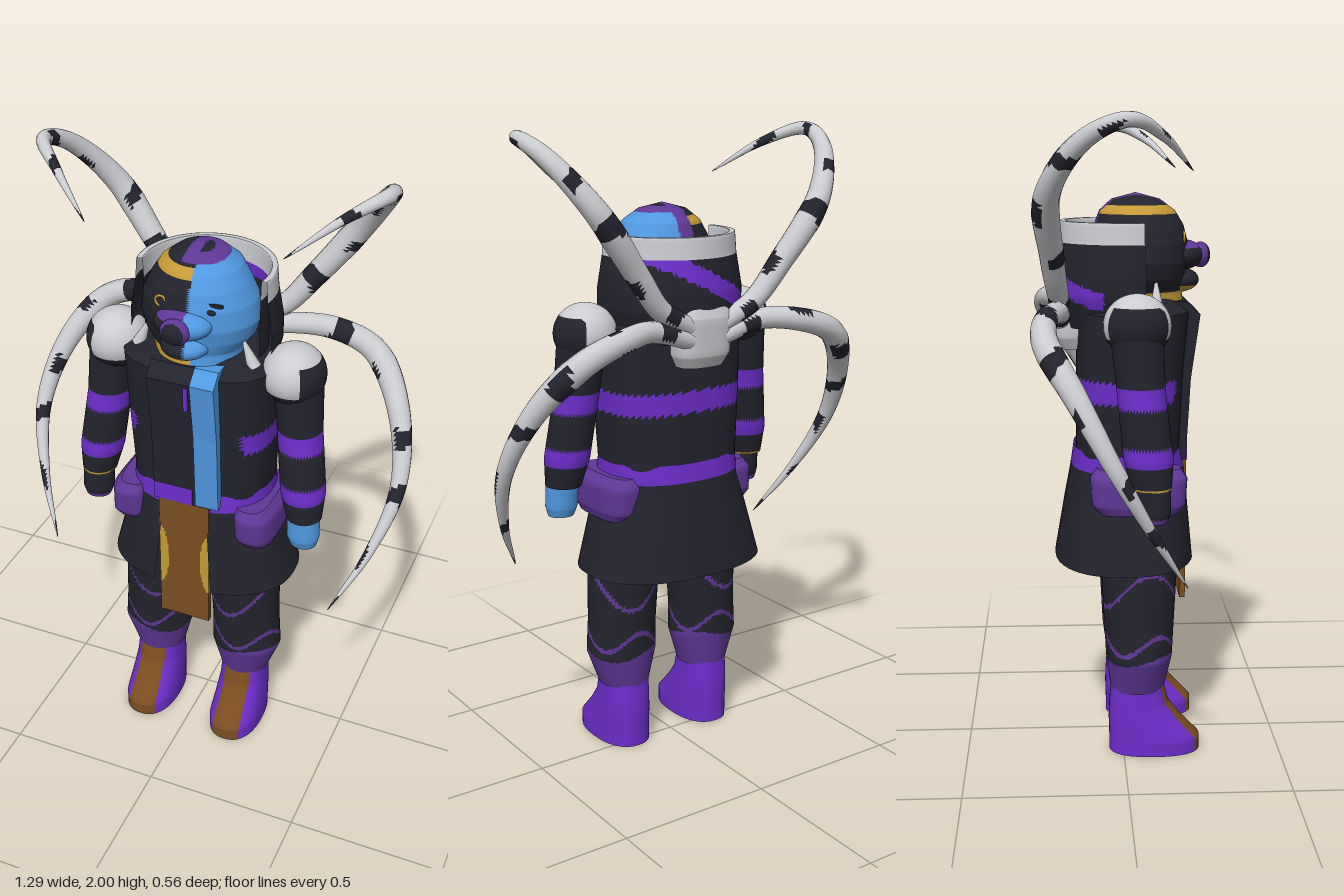
import * as THREE from 'three';

const color = (name, hex) => {
  const m = new THREE.MeshStandardMaterial({ color: hex, side: THREE.DoubleSide });
  m.name = name;
  return m;
};
const MATS = [
  color('charcoal', 0x23232d), color('violet', 0x6c2dca), color('dull purple', 0x5f3796),
  color('sky blue', 0x5098e0), color('bone white', 0xcbccd0), color('brown', 0x7a4d20),
  color('gold', 0xc49a36),
];
const [DARK, VIOLET, PURPLE, BLUE, WHITE, BROWN, GOLD] = MATS.keys();
const CUT = -1;

// Splits a geometry into colour groups; rule(centroid, triangleIndex) gives the colour, or CUT to drop it.
function paint(name, geo, rule) {
  const src = geo.index ? geo.toNonIndexed() : geo;
  const p = src.attributes.position, n = src.attributes.normal;
  const buckets = MATS.map(() => []);
  const c = new THREE.Vector3(), v = new THREE.Vector3();
  for (let t = 0; t < p.count / 3; t++) {
    c.set(0, 0, 0);
    for (let k = 0; k < 3; k++) c.add(v.fromBufferAttribute(p, t * 3 + k));
    buckets[typeof rule === 'number' ? rule : rule(c.divideScalar(3), t)]?.push(t);
  }
  const pos = [], nor = [], out = new THREE.BufferGeometry();
  buckets.forEach((list, m) => {
    if (!list.length) return;
    out.addGroup(pos.length / 3, list.length * 3, m);
    for (const t of list) for (let k = t * 3; k < t * 3 + 3; k++) {
      pos.push(p.getX(k), p.getY(k), p.getZ(k));
      nor.push(n.getX(k), n.getY(k), n.getZ(k));
    }
  });
  out.setAttribute('position', new THREE.Float32BufferAttribute(pos, 3));
  out.setAttribute('normal', new THREE.Float32BufferAttribute(nor, 3));
  const mesh = new THREE.Mesh(out, MATS);
  mesh.name = name;
  return mesh;
}

// Stacks oval rings [y, cx, cz, rx, rz]; a repeated ring makes a sharp edge.
function loft(rings, { power = 1, sub = 5, sides = 48 } = {}) {
  const pos = [], idx = [], rows = [];
  rings.forEach((r, i) => {
    if (i === rings.length - 1) return rows.push(r);
    const next = rings[i + 1], steps = r[0] === next[0] ? 1 : sub;
    for (let s = 0; s < steps; s++) rows.push(r.map((a, k) => a + (next[k] - a) * s / steps));
  });
  const bend = (a) => Math.sign(a) * Math.abs(a) ** power;
  rows.forEach(([y, cx, cz, rx, rz], i) => {
    for (let j = 0; j < sides; j++) {
      const a = j / sides * Math.PI * 2;
      pos.push(cx + rx * bend(Math.cos(a)), y, cz + rz * bend(Math.sin(a)));
      if (i === rows.length - 1) continue;
      const A = i * sides + j, B = i * sides + (j + 1) % sides;
      idx.push(A, A + sides, B, A + sides, B + sides, B);
    }
  });
  const g = new THREE.BufferGeometry();
  g.setAttribute('position', new THREE.Float32BufferAttribute(pos, 3));
  g.setIndex(idx);
  g.computeVertexNormals();
  return g;
}

// Adds flat closed ends to a list of rings.
const capped = (rings) => {
  const a = rings[0], b = rings[rings.length - 1];
  return [[a[0], a[1], a[2], 0, 0], a, a, ...rings.slice(1), b, [b[0], b[1], b[2], 0, 0]];
};
const ball = (x, y, z, rx, ry, rz) => new THREE.SphereGeometry(1, 36, 24).scale(rx, ry, rz).translate(x, y, z);
const box = (x, y, z, w, h, d) => new THREE.BoxGeometry(w, h, d).translate(x, y, z);

// Tapering curved limb with dark blotches.
function spiderLimb(name, points) {
  const seg = 90, rad = 14;
  const curve = new THREE.CatmullRomCurve3(points.map((q) => new THREE.Vector3(...q)));
  const g = new THREE.TubeGeometry(curve, seg, 1, rad);
  const p = g.attributes.position, v = new THREE.Vector3();
  for (let i = 0; i < p.count; i++) {
    const u = Math.floor(i / (rad + 1)) / seg, c = curve.getPointAt(u);
    const r = u < 0.35 ? 0.03 + 0.03 * u : 0.0405 * ((1 - u) / 0.65) ** 0.8 + 0.001;
    v.fromBufferAttribute(p, i).sub(c).multiplyScalar(r).add(c);
    p.setXYZ(i, v.x, v.y, v.z);
  }
  return paint(name, g, (c, t) => {
    const u = Math.floor(t / (rad * 2)) / seg, a = (t % (rad * 2)) / (rad * 2) * Math.PI * 2;
    const f = (u * 6.5 + 0.1 * Math.sin(a + u * 20) + 0.75) % 1;
    return f < 0.3 && Math.sin(a + Math.floor(u * 6.5) * 2) > -0.55 ? DARK : WHITE;
  });
}

export function createModel() {
  const model = new THREE.Group();
  const add = (...args) => model.add(paint(...args));

  for (const s of [1, -1]) {
    const side = s > 0 ? 'left' : 'right';
    // Boots with a brown front strip
    const bx = s * 0.158;
    add(side + 'Boot', loft(capped([[0, bx, 0.1, 0.087, 0.145], [0.045, bx, 0.1, 0.087, 0.145],
      [0.11, bx, 0.068, 0.082, 0.115], [0.16, bx, 0.05, 0.078, 0.095], [0.22, bx, 0.045, 0.075, 0.085]]), { power: 0.85 }),
      (c) => Math.abs(c.x - bx) < 0.046 && c.z > 0.08 && c.y > 0.001 ? BROWN : VIOLET);
    // Trousers with cuffs and wavy seams
    add(side + 'Leg', loft(capped([[0.21, bx, 0.045, 0.082, 0.085], [0.32, s * 0.163, 0.05, 0.117, 0.105],
      [0.42, s * 0.16, 0.05, 0.112, 0.11], [0.6, s * 0.152, 0.05, 0.115, 0.12], [0.8, s * 0.12, 0.04, 0.11, 0.12]]), { sub: 16, sides: 64 }),
      (c) => {
        const a = Math.atan2(c.z - 0.05, (c.x - bx) * s);
        if (c.y < 0.325 + 0.015 * Math.sin(2 * a)) return PURPLE;
        const low = 0.375 + 0.03 * Math.sin(3 * a), high = 0.55 + 0.06 * Math.sin(2 * a + 1);
        return Math.abs(c.y - low) < 0.008 || Math.abs(c.y - high) < 0.008 ? PURPLE : DARK;
      });
    // Sleeves with violet bands
    add(side + 'Arm', loft(capped([[0.91, s * 0.355, 0.075, 0.056, 0.06], [1.0, s * 0.345, 0.066, 0.071, 0.075],
      [1.2, s * 0.32, 0.045, 0.07, 0.073], [1.38, s * 0.305, 0.032, 0.075, 0.08], [1.44, s * 0.3, 0.03, 0.065, 0.07]]), { sub: 14 }),
      (c) => (c.y > 1.15 && c.y < 1.21) || (c.y > 0.98 && c.y < 1.035) ? VIOLET
        : s < 0 && c.y > 0.91 && c.y < 0.918 ? GOLD : DARK);
    // Hands
    add(side + 'Hand', loft(capped([[0.81, s * 0.36, 0.085, 0.042, 0.038], [0.84, s * 0.358, 0.085, 0.052, 0.048],
      [0.93, s * 0.355, 0.08, 0.052, 0.052]])), (c) => s > 0 ? BLUE : c.y < 0.825 ? PURPLE : DARK);
    // Shoulder domes with a dark outer patch
    add(side + 'ShoulderPad', ball(s * 0.29, 1.39, 0.035, 0.098, 0.095, 0.102),
      (c) => (s * c.x > 0.335 && c.y < 1.445) || c.y < 1.35 ? DARK : WHITE);
    // Hip pouches
    add(side + 'Pouch', loft(capped([[0.8, s * 0.212, 0.045, 0.055, 0.12], [0.83, s * 0.21, 0.045, 0.068, 0.145],
      [0.91, s * 0.208, 0.045, 0.068, 0.15], [0.94, s * 0.2, 0.045, 0.05, 0.13]]), { power: 0.65 }), PURPLE);
    // Collar fangs
    const fang = new THREE.ConeGeometry(0.022, 0.11, 16).rotateZ(s * 0.4).translate(s * 0.165, 1.475, 0.1);
    add(side + 'CollarFang', fang, WHITE);
    // Long limbs growing from the back
    model.add(spiderLimb(side + 'UpperLimb', [[s * 0.06, 1.42, -0.19], [s * 0.17, 1.48, -0.2], [s * 0.26, 1.59, -0.215],
      [s * 0.4, 1.78, -0.225], [s * 0.5, 1.93, -0.12], [s * 0.525, 1.98, 0], [s * 0.43, 1.935, 0.1], [s * 0.3, 1.84, 0.195]]));
    model.add(spiderLimb(side + 'LowerLimb', [[s * 0.06, 1.38, -0.19], [s * 0.2, 1.42, -0.2], [s * 0.33, 1.41, -0.235],
      [s * 0.46, 1.36, -0.235], [s * 0.57, 1.22, -0.15], [s * 0.618, 1.02, -0.04], [s * 0.57, 0.82, 0.07], [s * 0.48, 0.64, 0.175]]));
  }

  // Coat body
  add('coatBody', loft([[0.9, 0, 0.02, 0.215, 0.165], [0.98, 0, 0.02, 0.222, 0.165], [1.2, 0, 0.025, 0.235, 0.168],
    [1.41, 0, 0.035, 0.24, 0.175], [1.41, 0, 0.035, 0.24, 0.175], [1.45, 0, 0.03, 0.15, 0.13], [1.45, 0, 0.03, 0, 0]],
    { power: 0.72, sub: 16 }), (c) => {
    const front = c.z > 0.08 && Math.abs(c.x) < 0.175;
    return !front && c.y > 1.14 && c.y < 1.205 ? VIOLET : DARK;
  });
  // Flared coat skirt, open below and slit at the front
  add('coatSkirt', loft([[0.62, 0, 0.008, 0.31, 0.222], [0.8, 0, 0.015, 0.26, 0.198], [0.9, 0, 0.02, 0.232, 0.184],
    [0.98, 0, 0.02, 0.228, 0.172]], { power: 0.85, sub: 8 }), (c, t) => {
    const column = Math.floor(t / 2) % 48;
    if (column >= 10 && column <= 13) return CUT;
    return c.y > 0.92 ? VIOLET : DARK;
  });

  // Shirt strips showing in the open coat
  for (const [name, right, width, mat] of [['darkShirt', 0.04, 0.14, DARK], ['blueShirt', 0.115, 0.075, BLUE]]) {
    const outline = new THREE.Shape([[0.1, 0.94], [0.2, 0.94], [0.214, 1.2], [0.242, 1.4], [0.2, 1.44], [0.1, 1.44]]
      .map((q) => new THREE.Vector2(...q)));
    const g = new THREE.ExtrudeGeometry(outline, { depth: width, bevelEnabled: false });
    add(name, g.rotateY(-Math.PI / 2).translate(right, 0, 0), mat);
  }
  add('shirtClasp', box(0.026, 1.35, 0.238, 0.014, 0.08, 0.009), VIOLET);
  add('buckle', box(-0.035, 0.97, 0.2, 0.13, 0.06, 0.009), VIOLET);

  // Hanging front cloth with gold edge ovals
  add('frontCloth', new THREE.BoxGeometry(0.17, 0.46, 0.018, 34, 46, 1).translate(0, 0.71, 0.194),
    (c) => ((Math.abs(c.x) - 0.09) / 0.036) ** 2 + ((c.y - 0.715) / 0.12) ** 2 < 1 ? GOLD : BROWN);

  // Tall horseshoe collar with a pale rim
  const profile = [[0.2, 1.36], [0.232, 1.46], [0.232, 1.52], [0.215, 1.62], [0.21, 1.685], [0.192, 1.685], [0.19, 1.62], [0.19, 1.4]];
  const line = [];
  profile.forEach(([r, y], i) => {
    const n = profile[i + 1] ?? [r, y], steps = i < profile.length - 1 ? 6 : 1;
    for (let k = 0; k < steps; k++) line.push(new THREE.Vector2(r + (n[0] - r) * k / steps, y + (n[1] - y) * k / steps));
  });
  add('collar', new THREE.LatheGeometry(line, 80, THREE.MathUtils.degToRad(78), THREE.MathUtils.degToRad(204)).translate(0, 0, 0.018),
    (c) => c.y > 1.62 ? WHITE : c.z < -0.06 && Math.abs(c.y - 1.555 - 0.5 * c.x) < 0.03 ? VIOLET : DARK);

  // Pale hub on the back where the limbs meet
  add('backHub', loft(capped([[1.29, 0, -0.15, 0.075, 0.05], [1.33, 0, -0.16, 0.095, 0.06],
    [1.44, 0, -0.165, 0.1, 0.06], [1.48, 0, -0.16, 0.085, 0.05]]), { power: 0.7 }), WHITE);

  // Head in two halves with a swirl on the crown
  add('head', loft([[1.4, 0, 0.07, 0.13, 0.13], [1.47, 0, 0.06, 0.14, 0.13], [1.51, 0, 0.055, 0.17, 0.145],
    [1.56, 0, 0.055, 0.183, 0.155], [1.62, 0, 0.055, 0.174, 0.153], [1.67, 0, 0.055, 0.15, 0.14], [1.715, 0, 0.05, 0.122, 0.118],
    [1.75, 0, 0.045, 0.075, 0.075], [1.77, 0, 0.045, 0, 0]], { sub: 10, sides: 80 }), (c) => {
    const r = Math.hypot(c.x, c.z - 0.05);
    if (c.y > 1.65 && r < 0.085 && c.x > -0.03) return r > 0.04 || c.x < 0.01 ? PURPLE : DARK;
    if (c.x > 0.018) return BLUE;
    if (c.y > 1.65 && c.z < -0.02 && c.x > -0.03) return PURPLE;
    if (c.y < 1.47 || (c.y > 1.705 && c.y < 1.732)) return GOLD;
    return DARK;
  });
  // Muzzle, jaw and nose
  add('muzzle', ball(0, 1.578, 0.19, 0.09, 0.047, 0.07), (c) => c.x > 0.018 ? BLUE : c.y > 1.6 ? PURPLE : DARK);
  add('jaw', ball(0, 1.5, 0.175, 0.075, 0.04, 0.07), (c) => c.x > 0.018 ? BLUE : c.y < 1.485 ? GOLD : DARK);
  add('nose', ball(0, 1.577, 0.25, 0.046, 0.04, 0.03), (c) => Math.hypot(c.x, c.y - 1.577) > 0.034 ? PURPLE : DARK);
  // Eyes and brow
  add('leftBrow', box(0.09, 1.645, 0.178, 0.055, 0.009, 0.009), DARK);
  add('leftEye', ball(0.085, 1.625, 0.187, 0.015, 0.008, 0.006), DARK);
  add('rightEye', new THREE.TorusGeometry(0.016, 0.004, 8, 24).translate(-0.07, 1.635, 0.191), GOLD);
  return model;
}
